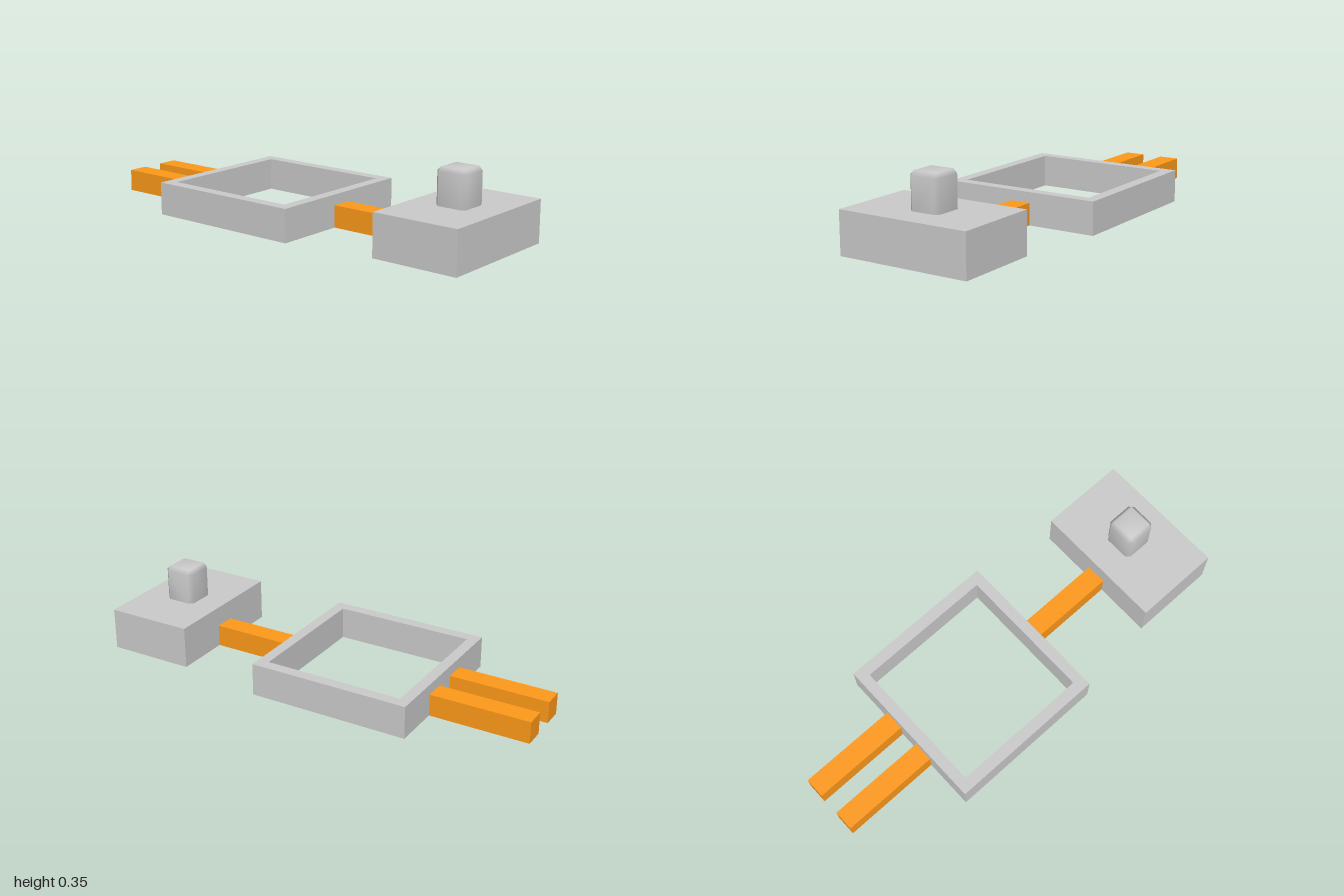
import * as THREE from 'three';
import { mergeVertices } from 'three/addons/utils/BufferGeometryUtils.js';
import { ConvexGeometry } from 'three/addons/geometries/ConvexGeometry.js';

const grey = new THREE.MeshStandardMaterial({ color: 0xcccccc });
const orange = new THREE.MeshStandardMaterial({ color: 0xff9a1a });

// Box standing on the ground between x0..x1 and z0..z1
function slab(name, x0, x1, z0, z1, height, material) {
  const mesh = new THREE.Mesh(new THREE.BoxGeometry(x1 - x0, height, z1 - z0), material);
  mesh.position.set((x0 + x1) / 2, height / 2, (z0 + z1) / 2);
  mesh.name = name;
  return mesh;
}

// Box with every edge chamfered, shaded smooth
function chamferedBox(w, h, d, bevel) {
  const points = [];
  for (const sx of [-1, 1]) for (const sy of [-1, 1]) for (const sz of [-1, 1]) {
    for (let axis = 0; axis < 3; axis++) {
      const inset = [0, 1, 2].map((i) => (i === axis ? 0 : bevel));
      points.push(new THREE.Vector3(
        sx * (w / 2 - inset[0]), sy * (h / 2 - inset[1]), sz * (d / 2 - inset[2])));
    }
  }
  let geometry = new ConvexGeometry(points);
  geometry.deleteAttribute('normal');
  geometry = mergeVertices(geometry);
  geometry.computeVertexNormals();
  return geometry;
}

export function createModel() {
  const group = new THREE.Group();

  // Open square frame
  const outline = new THREE.Shape();
  outline.moveTo(-0.37, -0.37).lineTo(0.37, -0.37).lineTo(0.37, 0.37).lineTo(-0.37, 0.37).closePath();
  const opening = new THREE.Path();
  opening.moveTo(-0.32, -0.318).lineTo(-0.32, 0.318).lineTo(0.32, 0.318).lineTo(0.32, -0.318).closePath();
  outline.holes.push(opening);
  const frame = new THREE.Mesh(
    new THREE.ExtrudeGeometry(outline, { depth: 0.148, bevelEnabled: false }).rotateX(-Math.PI / 2), grey);
  frame.position.x = -0.175;
  frame.name = 'squareFrame';
  group.add(frame);

  // Two prongs on one side, one connecting bar on the other
  group.add(slab('backProng', -1, -0.545, -0.147, -0.053, 0.1, orange));
  group.add(slab('frontProng', -1, -0.545, 0.047, 0.14, 0.1, orange));
  group.add(slab('connectingBar', 0.195, 0.6, -0.05, 0.044, 0.1, orange));

  // End block with its peg, sunk slightly into the top
  group.add(slab('endBlock', 0.6, 1, -0.31, 0.308, 0.191, grey));
  const peg = new THREE.Mesh(chamferedBox(0.145, 0.2, 0.145, 0.018), grey);
  peg.position.set(0.798, 0.252, -0.008);
  peg.name = 'peg';
  group.add(peg);

  return group;
}
